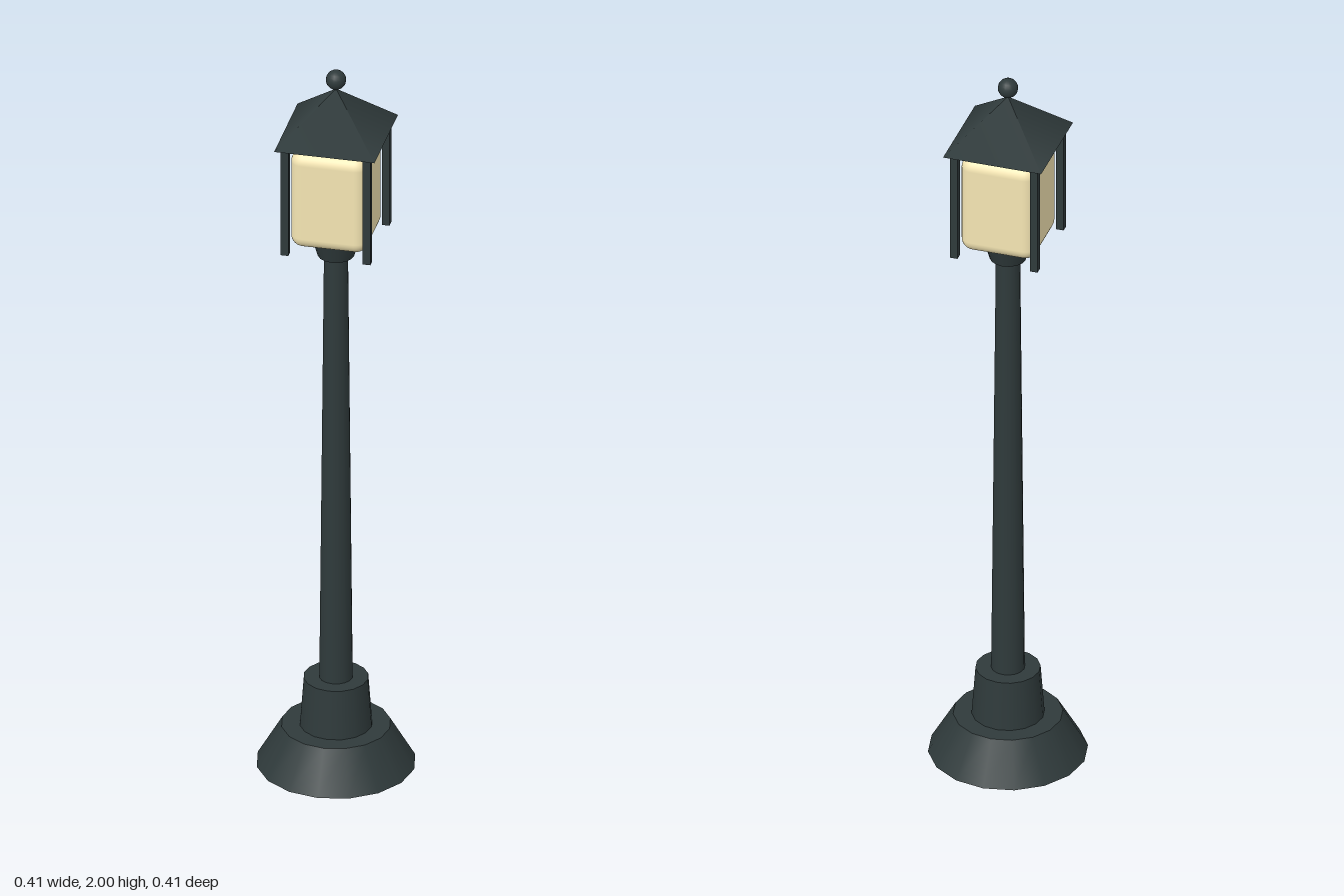
import * as THREE from 'three';
import { RoundedBoxGeometry } from 'three/addons/geometries/RoundedBoxGeometry.js';

export function createModel() {
  const model = new THREE.Group();
  model.name = 'streetLamp';
  const iron = new THREE.MeshStandardMaterial({ color: 0x2f3a3b });
  const glass = new THREE.MeshStandardMaterial({ color: 0xf5e6b3 });

  const add = (name, geometry, material, x, y, z) => {
    const mesh = new THREE.Mesh(geometry, material);
    mesh.name = name;
    mesh.position.set(x, y, z);
    model.add(mesh);
    return mesh;
  };
  // Tapered round section between two heights
  const section = (name, rBottom, rTop, y0, y1, sides) =>
    add(name, new THREE.CylinderGeometry(rTop, rBottom, y1 - y0, sides), iron, 0, (y0 + y1) / 2, 0);

  // Foot and pole
  section('base', 0.204, 0.14, 0, 0.11, 16);
  section('collar', 0.093, 0.083, 0.11, 0.245, 16);
  section('pole', 0.043, 0.031, 0.245, 1.47, 16);
  section('lanternCup', 0.047, 0.065, 1.468, 1.53, 16);

  // Glowing lantern body
  add('lanternGlass', new RoundedBoxGeometry(0.2, 0.275, 0.2, 4, 0.032), glass, 0, 1.661, 0);

  // Four corner posts
  for (const sx of [-1, 1]) {
    for (const sz of [-1, 1]) {
      add('cornerPost', new THREE.BoxGeometry(0.02, 0.298, 0.02), iron, sx * 0.107, 1.662, sz * 0.107);
    }
  }

  // Pyramid roof and finial ball
  const roof = new THREE.ConeGeometry(0.131 * Math.SQRT2, 0.13, 4);
  roof.rotateY(Math.PI / 4);
  add('roof', roof, iron, 0, 1.883, 0);
  add('finial', new THREE.SphereGeometry(0.026, 16, 12), iron, 0, 1.974, 0);

  return model;
}
